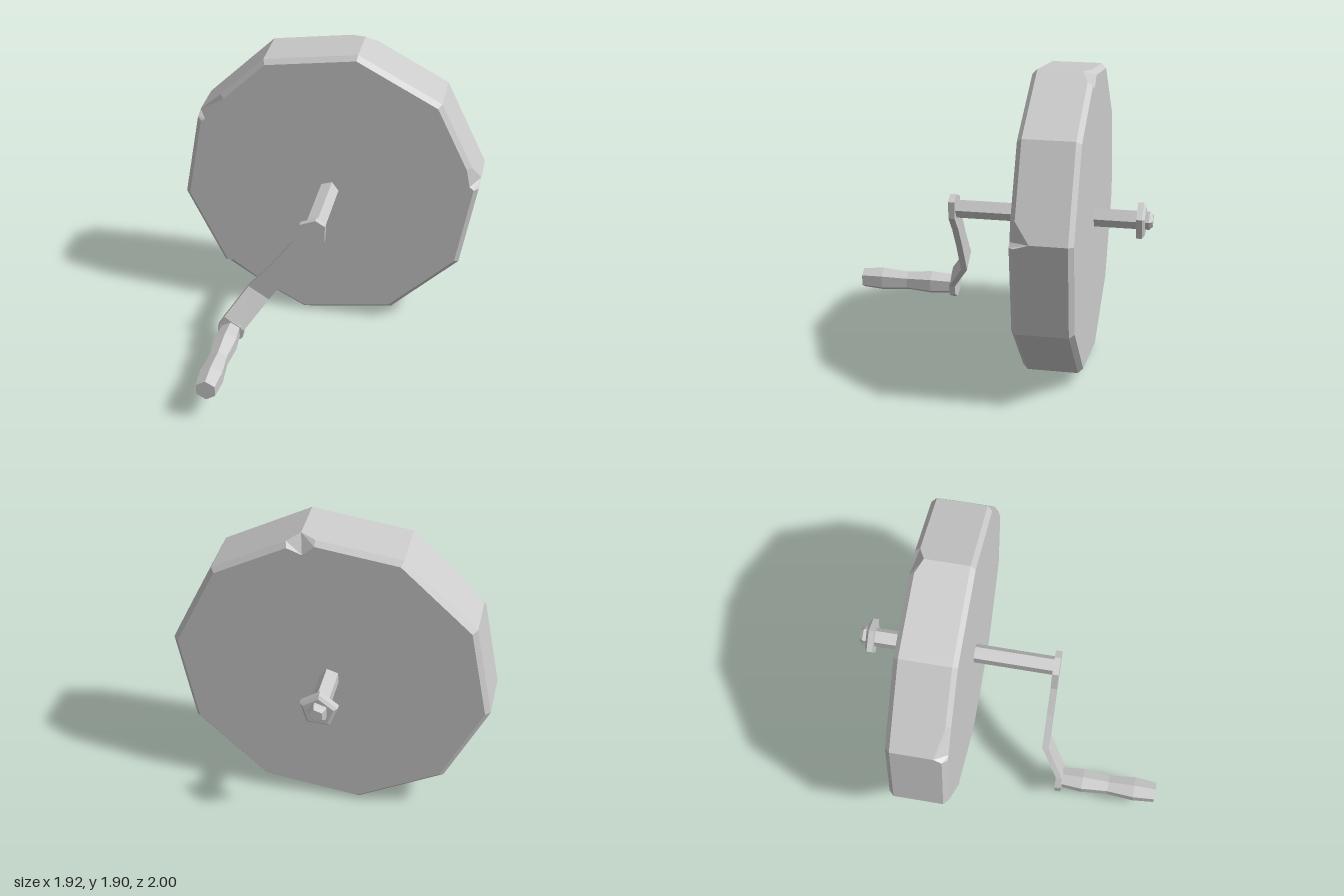
import * as THREE from 'three';

const material = new THREE.MeshStandardMaterial({ color: 0xcccccc, flatShading: true });

function addMesh(group, name, geometry) {
  const mesh = new THREE.Mesh(geometry, material);
  mesh.name = name;
  group.add(mesh);
  return mesh;
}

// Skin a list of equal-length rings and close both ends with a fan.
function loft(rings) {
  const n = rings[0].length;
  const pos = [];
  const tri = (...pts) => pts.forEach((p) => pos.push(...p));
  const cap = (ring, flip) => {
    const mid = [0, 1, 2].map((k) => ring.reduce((s, p) => s + p[k], 0) / n);
    ring.forEach((p, j) => {
      const q = ring[(j + 1) % n];
      if (flip) tri(mid, q, p);
      else tri(mid, p, q);
    });
  };
  for (let i = 0; i < rings.length - 1; i++) {
    for (let j = 0; j < n; j++) {
      const k = (j + 1) % n;
      tri(rings[i][j], rings[i + 1][j], rings[i + 1][k]);
      tri(rings[i][j], rings[i + 1][k], rings[i][k]);
    }
  }
  cap(rings[0], false);
  cap(rings[rings.length - 1], true);
  const geometry = new THREE.BufferGeometry();
  geometry.setAttribute('position', new THREE.Float32BufferAttribute(pos, 3));
  geometry.computeVertexNormals();
  return geometry;
}

// Faceted turned part along z; profile holds [radius, z], angle places a corner.
function turned(profile, sides, angle, x, y) {
  const points = profile.map(([r, z]) => new THREE.Vector2(r, z));
  const start = THREE.MathUtils.degToRad(angle + 90);
  return new THREE.LatheGeometry(points, sides, start).rotateX(Math.PI / 2).translate(x, y, 0);
}

// Ten-sided bevelled wheel with chipped corners.
function wheelGeometry() {
  const cy = 0.96, R = 0.967, bevel = 0.03;
  // Chips: corner index, cap radius, depth along the rim, reach before and after the corner
  const front = {
    0: { cap: 0.905, z: -0.39, before: 0.03, after: 0.13 },
    4: { cap: 0.91, z: -0.35, before: 0.21, after: 0.03 },
    6: { cap: 0.9, z: -0.34, before: 0.03, after: 0.3 },
  };
  const back = { 2: { cap: 0.86, z: -0.57, before: 0.09, after: 0.09 } };

  const ring = (radius, z, chips, isCap) => {
    const at = (k, r) => {
      const a = THREE.MathUtils.degToRad(7.8 + 36 * k);
      return new THREE.Vector3(r * Math.cos(a), cy + r * Math.sin(a), z);
    };
    const out = [];
    for (let k = 0; k < 10; k++) {
      const chip = chips[k] || { before: 0.08, after: 0.08 };
      const corner = at(k, radius);
      const toward = (m, d) => corner.clone().lerp(at(m, radius), d / (0.618 * R));
      const tip = chip.cap && isCap ? at(k, chip.cap) : corner.clone();
      if (chip.cap && !isCap) tip.z = chip.z;
      out.push(toward(k - 1, chip.before), tip, toward(k + 1, chip.after));
    }
    return out.map((p) => p.toArray());
  };
  return loft([
    ring(R - bevel, -0.27, front, true),
    ring(R, -0.3, front, false),
    ring(R, -0.61, back, false),
    ring(R - bevel, -0.64, back, true),
  ]);
}

// Flat crank arm: left edge, right edge and front z at each station.
function armGeometry() {
  const stations = [
    [0.02, 1.055, 0.08, 1.02, 0.27],
    [-0.08, 1.015, 0.075, 0.91, 0.27],
    [-0.125, 0.88, -0.03, 0.8, 0.27],
    [-0.25, 0.71, -0.14, 0.65, 0.27],
    [-0.41, 0.52, -0.28, 0.435, 0.27],
    [-0.545, 0.345, -0.42, 0.255, 0.385],
    [-0.59, 0.27, -0.43, 0.2, 0.385],
    [-0.59, 0.19, -0.51, 0.15, 0.385],
  ];
  const t = 0.04;
  return loft(stations.map(([lx, ly, rx, ry, z]) => [
    [lx, ly, z], [rx, ry, z], [rx, ry, z - t], [lx, ly, z - t],
  ]));
}

export function createModel() {
  const model = new THREE.Group();
  model.name = 'crankWheel';

  addMesh(model, 'wheel', wheelGeometry());

  // Five-sided axle with a tapered tip
  addMesh(model, 'axle', turned(
    [[0, -1], [0.042, -1], [0.062, -0.98], [0.062, 0.24], [0, 0.24]], 5, 0, 0, 0.96));

  // Nut on the back of the axle
  addMesh(model, 'nut', turned(
    [[0, -0.955], [0.095, -0.955], [0.117, -0.94], [0.117, -0.905], [0, -0.905]], 5, 20, 0, 0.95));

  addMesh(model, 'crankArm', armGeometry());

  // Six-sided collar and wavy grip
  addMesh(model, 'gripCollar', turned(
    [[0, 0.35], [0.085, 0.35], [0.085, 0.388], [0, 0.388]], 6, 90, -0.51, 0.235));
  addMesh(model, 'grip', turned(
    [[0, 0.37], [0.065, 0.37], [0.079, 0.52], [0.063, 0.69], [0.079, 0.86], [0.067, 1], [0, 1]],
    6, 90, -0.505, 0.242));

  return model;
}
